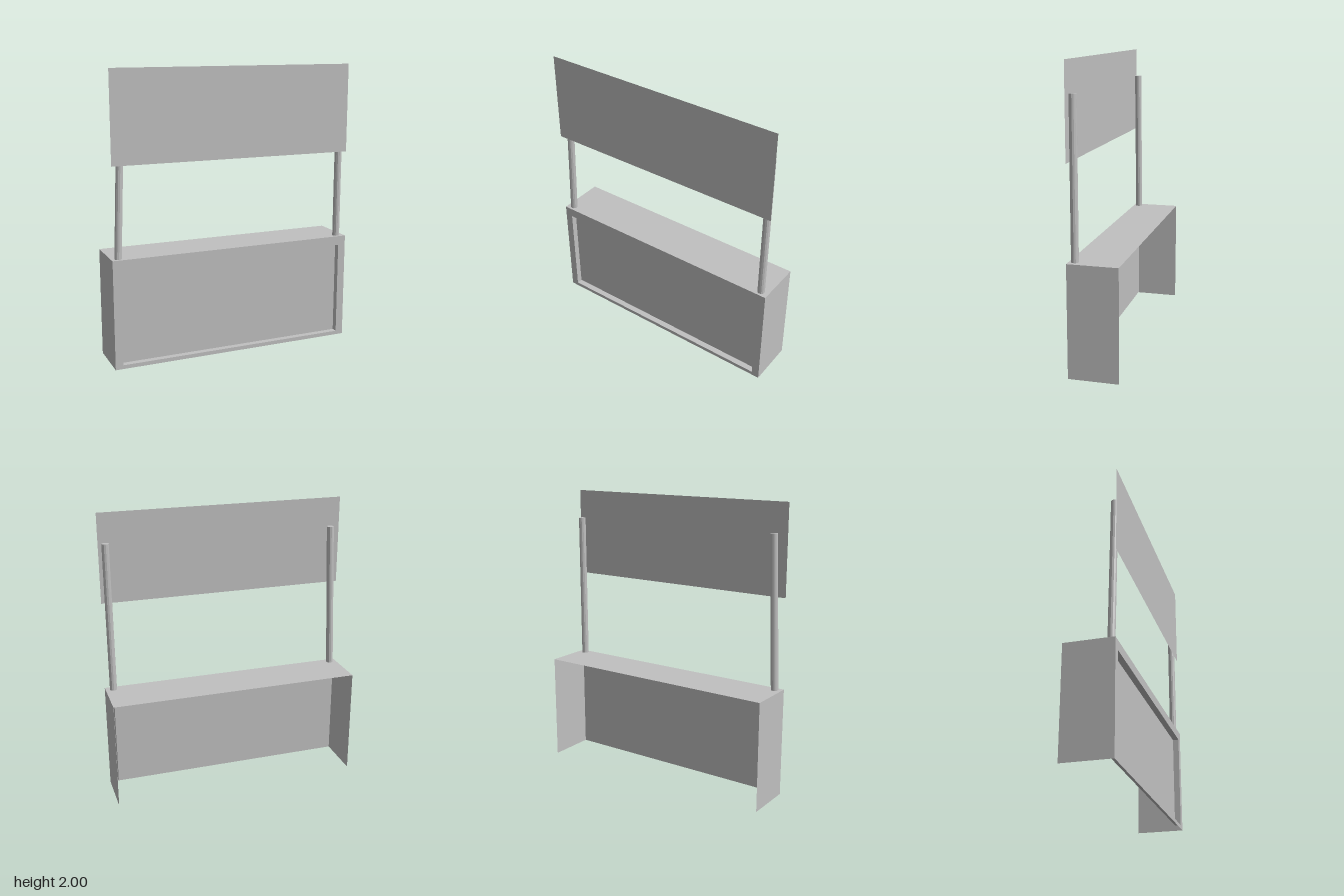
import * as THREE from 'three';

const grey = new THREE.MeshStandardMaterial({ color: 0xc0c0c0, side: THREE.DoubleSide, flatShading: true });
grey.name = 'plain grey';

const W = 0.877, H = 0.758, D = 0.168; // counter half width, height, half depth
const IX = 0.822, IY0 = 0.027, IY1 = 0.692, PANEL_Z = 0.125; // recessed front panel

function addMesh(parent, name, geometry, x = 0, y = 0, z = 0) {
  const mesh = new THREE.Mesh(geometry, grey);
  mesh.name = name;
  mesh.position.set(x, y, z);
  parent.add(mesh);
  return mesh;
}

// Thin sheet facing front, side or up
const sheet = (w, h) => new THREE.PlaneGeometry(w, h);
const sideSheet = (d, h) => new THREE.PlaneGeometry(d, h).rotateY(Math.PI / 2);
const flatSheet = (w, d) => new THREE.PlaneGeometry(w, d).rotateX(-Math.PI / 2);

// Straight pole between two points, with the ends kept level
function pole(parent, name, xBottom, xTop, z) {
  const y0 = H, y1 = 1.8, radius = 0.025;
  const geometry = new THREE.CylinderGeometry(radius, radius, y1 - y0, 12);
  const p = geometry.attributes.position;
  for (let i = 0; i < p.count; i++) {
    p.setX(i, p.getX(i) + (p.getY(i) / (y1 - y0)) * (xTop - xBottom));
  }
  geometry.computeVertexNormals();
  addMesh(parent, name, geometry, (xBottom + xTop) / 2, (y0 + y1) / 2, z);
}

export function createModel() {
  const model = new THREE.Group();
  model.name = 'marketStand';

  // Counter shell, open at the back and below
  const counter = new THREE.Group();
  counter.name = 'counter';
  model.add(counter);
  addMesh(counter, 'counterTop', flatSheet(2 * W, 2 * D), 0, H, 0);
  for (const s of [1, -1]) {
    addMesh(counter, s > 0 ? 'leftSide' : 'rightSide', sideSheet(2 * D, H).rotateY(s > 0 ? 0 : Math.PI), s * W, H / 2, 0);
  }

  // Front frame with an opening
  const frame = new THREE.Shape([
    new THREE.Vector2(-W, 0), new THREE.Vector2(W, 0),
    new THREE.Vector2(W, H), new THREE.Vector2(-W, H),
  ]);
  frame.holes.push(new THREE.Path([
    new THREE.Vector2(-IX, IY0), new THREE.Vector2(-IX, IY1),
    new THREE.Vector2(IX, IY1), new THREE.Vector2(IX, IY0),
  ]));
  addMesh(counter, 'frontFrame', new THREE.ShapeGeometry(frame), 0, 0, D);

  // Recessed panel and the walls around it
  const depth = D - PANEL_Z, midZ = (D + PANEL_Z) / 2, midY = (IY0 + IY1) / 2;
  addMesh(counter, 'frontPanel', sheet(2 * IX, IY1 - IY0), 0, midY, PANEL_Z);
  for (const s of [1, -1]) {
    addMesh(counter, 'recessSide', sideSheet(depth, IY1 - IY0).rotateY(s > 0 ? Math.PI : 0), s * IX, midY, midZ);
  }
  addMesh(counter, 'recessFloor', flatSheet(2 * IX, depth), 0, IY0, midZ);
  addMesh(counter, 'recessCeiling', flatSheet(2 * IX, depth).rotateX(Math.PI), 0, IY1, midZ);

  // Upright pole and the slightly leaning one
  pole(model, 'leftPole', 0.822, 0.822, 0.128);
  pole(model, 'rightPole', -0.828, -0.785, 0.128);

  // Thin sign board in front of the poles
  addMesh(model, 'signBoard', sheet(1.732, 0.62), 0, 1.69, 0.164);

  return model;
}
